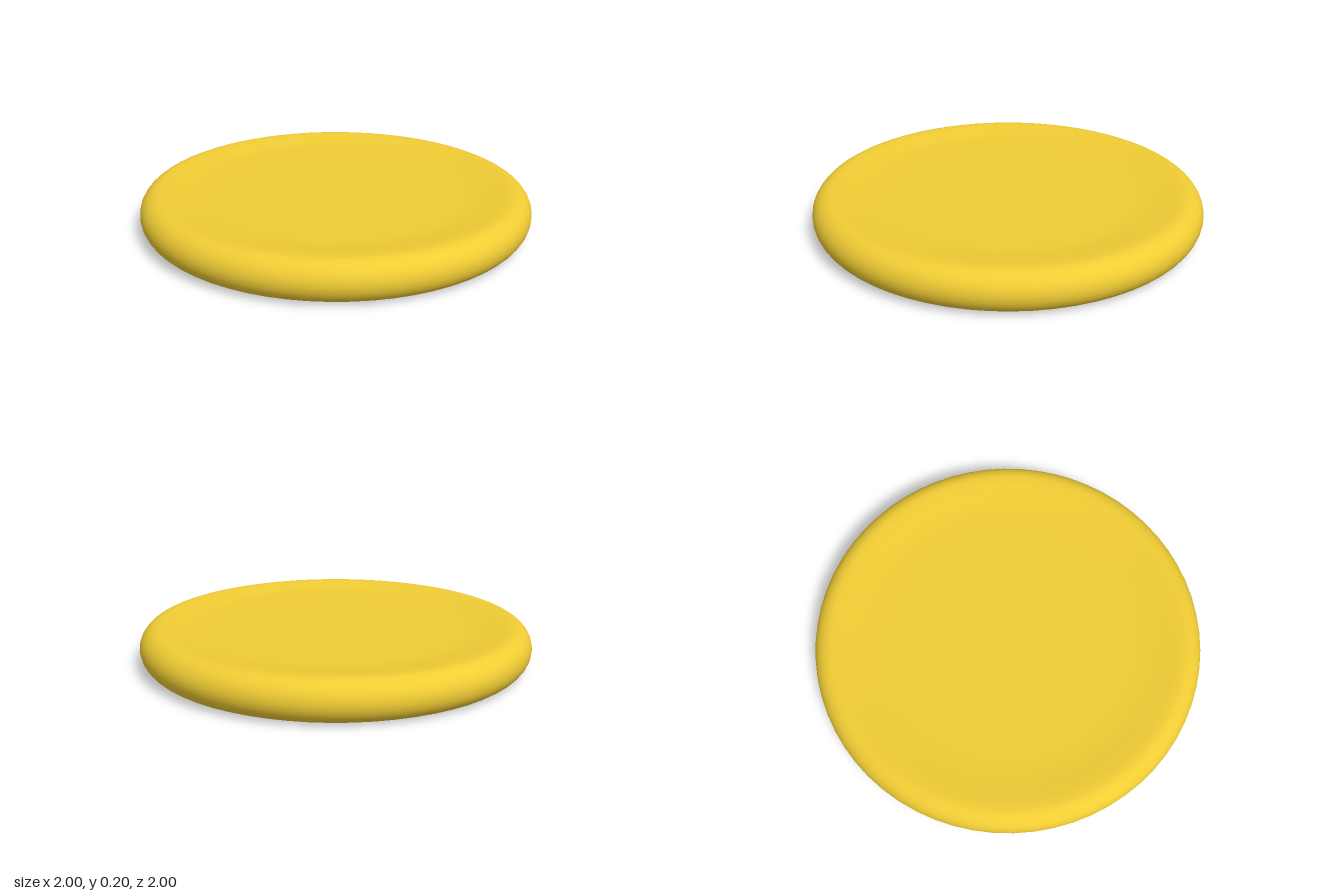
import * as THREE from 'three';

// Points of an arc in the profile plane, angles in degrees
function arc(cx, cy, r, from, to, steps) {
  return Array.from({ length: steps + 1 }, (_, i) => {
    const a = THREE.MathUtils.degToRad(from + (to - from) * i / steps);
    return new THREE.Vector2(cx + r * Math.cos(a), cy + r * Math.sin(a));
  });
}

export function createModel() {
  const group = new THREE.Group();
  group.name = 'flyingDisc';
  const material = new THREE.MeshStandardMaterial({ color: 0xf0cc34 });

  const profile = [
    // hollow underside and the fillet into the inner wall
    new THREE.Vector2(0, 0.16),
    new THREE.Vector2(0.4, 0.16),
    new THREE.Vector2(0.72, 0.16),
    ...arc(0.78, 0.07, 0.09, 90, 0, 8),
    // tight lip, then the rounded outer rim
    ...arc(0.9, 0.03, 0.03, 180, 270, 5),
    ...arc(0.9, 0.1, 0.1, -80, 90, 17),
    // top sloping gently into the slightly sunken centre
    new THREE.Vector2(0.86, 0.198),
    new THREE.Vector2(0.8, 0.19),
    new THREE.Vector2(0.75, 0.184),
    new THREE.Vector2(0.7, 0.181),
    new THREE.Vector2(0.64, 0.18),
    new THREE.Vector2(0.3, 0.18),
    new THREE.Vector2(0, 0.18),
  ];

  const disc = new THREE.Mesh(new THREE.LatheGeometry(profile, 64), material);
  disc.name = 'disc';
  group.add(disc);
  return group;
}
